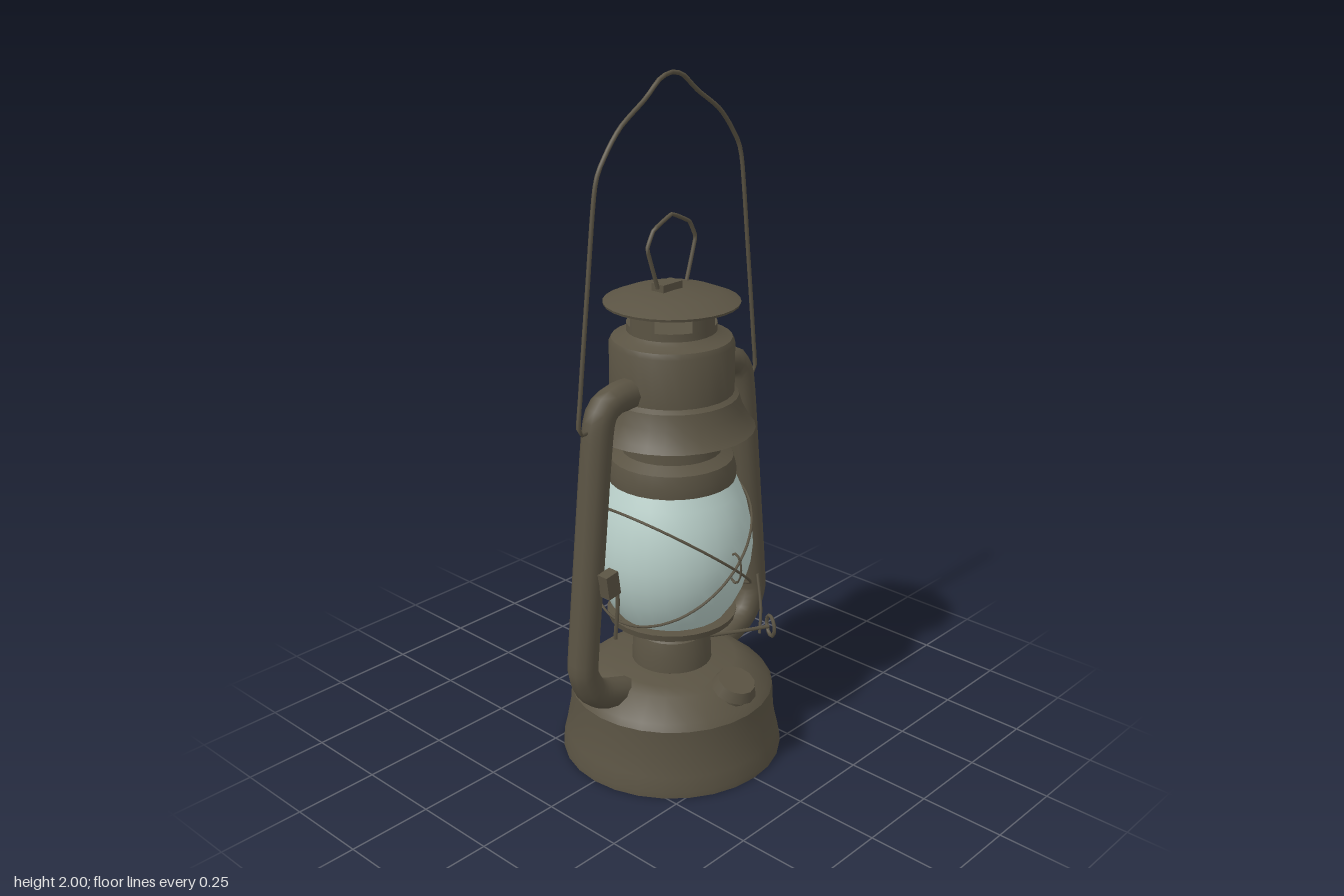
import * as THREE from 'three';
import { toCreasedNormals } from 'three/addons/utils/BufferGeometryUtils.js';

export function createModel() {
  const model = new THREE.Group();
  model.name = 'lantern';

  const metal = new THREE.MeshStandardMaterial({ color: 0x5a5343, side: THREE.DoubleSide });
  metal.name = 'weathered metal';
  const glass = new THREE.MeshStandardMaterial({ color: 0xb8cec8 });
  glass.name = 'pale glass';

  const add = (name, geometry, material = metal) => {
    const mesh = new THREE.Mesh(geometry, material);
    mesh.name = name;
    model.add(mesh);
    return mesh;
  };
  const lathe = (name, profile, material = metal, crease = 0.5) =>
    add(name, toCreasedNormals(
      new THREE.LatheGeometry(profile.map(([r, y]) => new THREE.Vector2(r, y)), 28), crease), material);
  const wire = (name, points, radius, { closed = false, segments = 32, sides = 5, tension = 0.4 } = {}) => {
    const curve = new THREE.CatmullRomCurve3(
      points.map(p => new THREE.Vector3(...p)), closed, 'catmullrom', tension);
    return add(name, new THREE.TubeGeometry(curve, segments, radius, sides, closed));
  };

  // Fuel tank
  lathe('fuelTank', [[0, 0], [0.328, 0], [0.328, 0.018], [0.318, 0.06], [0.305, 0.13], [0.301, 0.2],
    [0.288, 0.218], [0.225, 0.27], [0.19, 0.284], [0, 0.286]]);

  // Burner and the plate carrying the globe
  lathe('burner', [[0.1, 0.27], [0.118, 0.285], [0.116, 0.335], [0.106, 0.375], [0.08, 0.395], [0.08, 0.42]]);
  lathe('globePlate', [[0, 0.4], [0.135, 0.4], [0.15, 0.415], [0.186, 0.428], [0.19, 0.447], [0.16, 0.45], [0, 0.45]]);

  // Globe
  lathe('globe', [[0.155, 0.44], [0.183, 0.48], [0.212, 0.54], [0.229, 0.6], [0.235, 0.66], [0.23, 0.72],
    [0.217, 0.78], [0.198, 0.83], [0.18, 0.87]], glass, 1);

  // Chimney: collar, flared skirt, hood and vent ring
  lathe('globeCollar', [[0, 0.862], [0.182, 0.862], [0.184, 0.895], [0.175, 0.93], [0.142, 0.95], [0.138, 1.03]]);
  lathe('hood', [[0.13, 1.02], [0.236, 1.018], [0.222, 1.035], [0.2, 1.075], [0.188, 1.115], [0.175, 1.125],
    [0.175, 1.265], [0.168, 1.28], [0.14, 1.29], [0.126, 1.3], [0.126, 1.322], [0, 1.322]]);
  for (let i = 0; i < 4; i++) {
    add('ventPost', new THREE.CylinderGeometry(0.126, 0.126, 0.065, 4, 1, true,
      i * Math.PI / 2 - 0.37, 0.74)).position.y = 1.348;
  }
  lathe('chimneyCap', [[0, 1.37], [0.13, 1.37], [0.188, 1.375], [0.19, 1.382], [0.13, 1.406], [0, 1.41]]);

  // Lifting ring on the cap
  add('ringTab', new THREE.BoxGeometry(0.076, 0.03, 0.045)).position.set(0, 1.415, -0.018);
  wire('liftingRing', [[-0.055, 1.425, 0], [-0.095, 1.54, 0], [-0.07, 1.588, 0], [0, 1.62, 0],
    [0.07, 1.588, 0], [0.095, 1.54, 0], [0.06, 1.425, 0]], 0.006, { tension: 0.1 });

  // Side tubes
  for (const s of [-1, 1]) {
    wire('sideTube', [[0.15, 1.155], [0.22, 1.155], [0.268, 1.135], [0.292, 1.07], [0.328, 0.75], [0.362, 0.43],
      [0.363, 0.37], [0.335, 0.31], [0.29, 0.277], [0.2, 0.245]].map(([x, y]) => [s * x, y, 0]),
      0.044, { segments: 48, sides: 10 });
  }

  // Carrying bail, hooked into the tubes
  const half = [[0.3, 1.09], [0.358, 1.092], [0.35, 1.2], [0.318, 1.47], [0.285, 1.73], [0.25, 1.805],
    [0.19, 1.875], [0.1, 1.935], [0.045, 1.98]];
  wire('bail', [...half.map(([x, y]) => [-x, y, 0]), [0, 1.993, 0],
    ...half.slice().reverse().map(([x, y]) => [x, y, 0])], 0.0065, { segments: 90 });

  // Crossed guard wires around the globe
  for (const s of [-1, 1]) {
    const hoop = [];
    for (let i = 0; i < 24; i++) {
      const a = i * Math.PI / 12;
      hoop.push([0.212 * Math.cos(a), 0.645 + s * 0.17 * Math.cos(a), 0.242 * Math.sin(a)]);
    }
    wire('guardWire', hoop, 0.004, { closed: true, segments: 60 });
    // Small loop where the wires cross
    const loop = add('guardLoop', new THREE.TorusGeometry(0.045, 0.004, 5, 12));
    loop.rotation.y = Math.PI / 2;
    loop.scale.x = 0.5;
    loop.position.set(0, 0.65, s * 0.242);
  }

  // Tilted filler cap
  const filler = new THREE.Group();
  filler.name = 'fillerCap';
  const neck = add('fillerNeck', new THREE.CylinderGeometry(0.045, 0.05, 0.07, 12));
  neck.position.y = -0.04;
  const lid = add('fillerLid', new THREE.CylinderGeometry(0.055, 0.067, 0.032, 12));
  filler.add(neck, lid);
  filler.position.set(0, 0.282, 0.25);
  filler.rotation.x = 0.35;
  model.add(filler);

  // Wick adjuster
  wire('wickRod', [[0.08, 0.33, 0.05], [0.18, 0.33, 0.11], [0.265, 0.33, 0.155]], 0.006);
  const knob = add('wickKnob', new THREE.TorusGeometry(0.032, 0.006, 5, 12));
  knob.position.set(0.27, 0.33, 0.157);
  knob.rotation.y = 1.05;
  wire('wickLever', [[0.24, 0.31, 0.14], [0.255, 0.39, 0.13], [0.272, 0.485, 0.1]], 0.005);

  // Globe lifting lever beside the right tube
  wire('globeLever', [[-0.285, 0.47, 0.05], [-0.288, 0.6, 0.065], [-0.3, 0.69, 0.06]], 0.006);
  const clip = add('leverClip', new THREE.BoxGeometry(0.045, 0.07, 0.035));
  clip.position.set(-0.315, 0.655, 0.06);
  clip.rotation.z = 0.15;

  return model;
}
